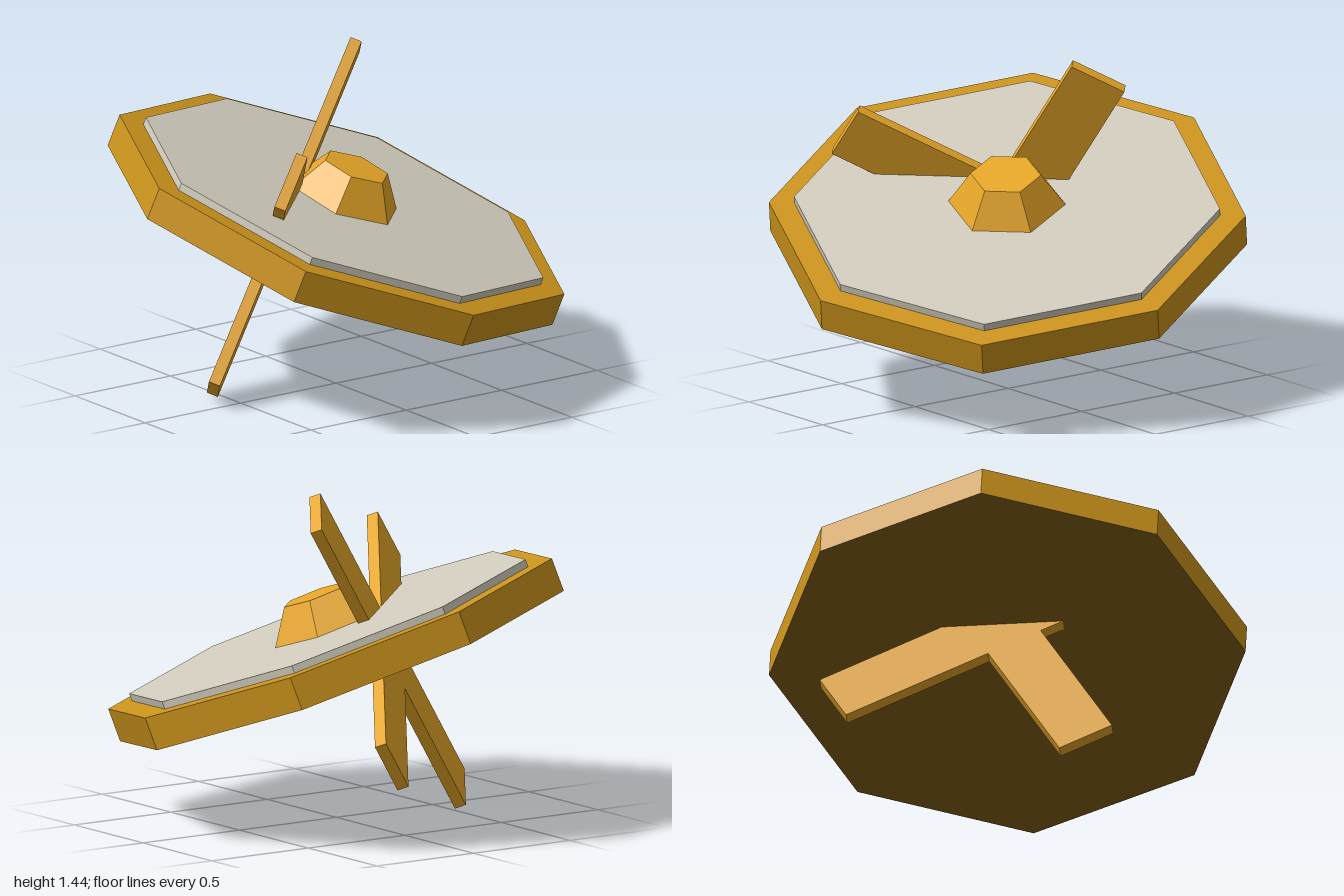
import * as THREE from 'three';

function flat(name, color) {
  const material = new THREE.MeshStandardMaterial({ color });
  material.name = name;
  return material;
}

export function createModel() {
  const rimGold = flat('rim gold', 0xcb931c);
  const brightGold = flat('bright gold', 0xe6a628);
  const darkBrown = flat('dark brown', 0x835f12);
  const paleGrey = flat('pale grey', 0xd0cbbc);

  const model = new THREE.Group();
  model.name = 'tiltedShield';

  // Everything sits in one frame, tipped 20 degrees towards +x +z
  const tilted = new THREE.Group();
  tilted.name = 'tiltedFrame';
  tilted.position.y = 0.721;
  const axis = new THREE.Vector3(0.246, 0.937, 0.246).normalize();
  tilted.quaternion.setFromUnitVectors(new THREE.Vector3(0, 1, 0), axis);
  tilted.rotateY(Math.PI / 4);
  model.add(tilted);

  // Faceted disc between two heights, with sharp sides
  function disc(name, rTop, rBottom, y0, y1, sides, material) {
    const geometry = new THREE.CylinderGeometry(rTop, rBottom, y1 - y0, sides).toNonIndexed();
    geometry.computeVertexNormals();
    const mesh = new THREE.Mesh(geometry, material);
    mesh.name = name;
    mesh.position.y = (y0 + y1) / 2;
    tilted.add(mesh);
    return mesh;
  }
  // Rim materials: side, top, underside
  disc('rim', 1.013, 1.013, -0.073, 0.073, 8, [rimGold, rimGold, darkBrown]);
  disc('facePlate', 0.905, 0.905, 0.06, 0.106, 8, paleGrey);
  disc('hub', 0.15, 0.253, 0.1, 0.252, 6, brightGold).rotation.y = Math.PI / 6;

  // Two crossed bars as one cut-out, standing through the disc
  const half = 0.8, w = 0.125, thickness = 0.05;
  const cross = new THREE.Shape();
  for (let i = 0; i < 4; i++) {
    const c = Math.round(Math.cos(i * Math.PI / 2));
    const s = Math.round(Math.sin(i * Math.PI / 2));
    for (const [x, y] of [[half, -w], [half, w], [w, w]]) {
      const px = x * c - y * s, py = x * s + y * c;
      if (i === 0 && x === half && y < 0) cross.moveTo(px, py);
      else cross.lineTo(px, py);
    }
  }
  cross.closePath();
  const crossGeometry = new THREE.ExtrudeGeometry(cross, { depth: thickness, bevelEnabled: false });
  crossGeometry.translate(0, 0, -thickness / 2);
  const bars = new THREE.Mesh(crossGeometry, brightGold);
  bars.name = 'crossedBars';
  bars.position.set(0, -0.075, -0.208);
  bars.rotation.z = THREE.MathUtils.degToRad(-29);
  tilted.add(bars);

  return model;
}
